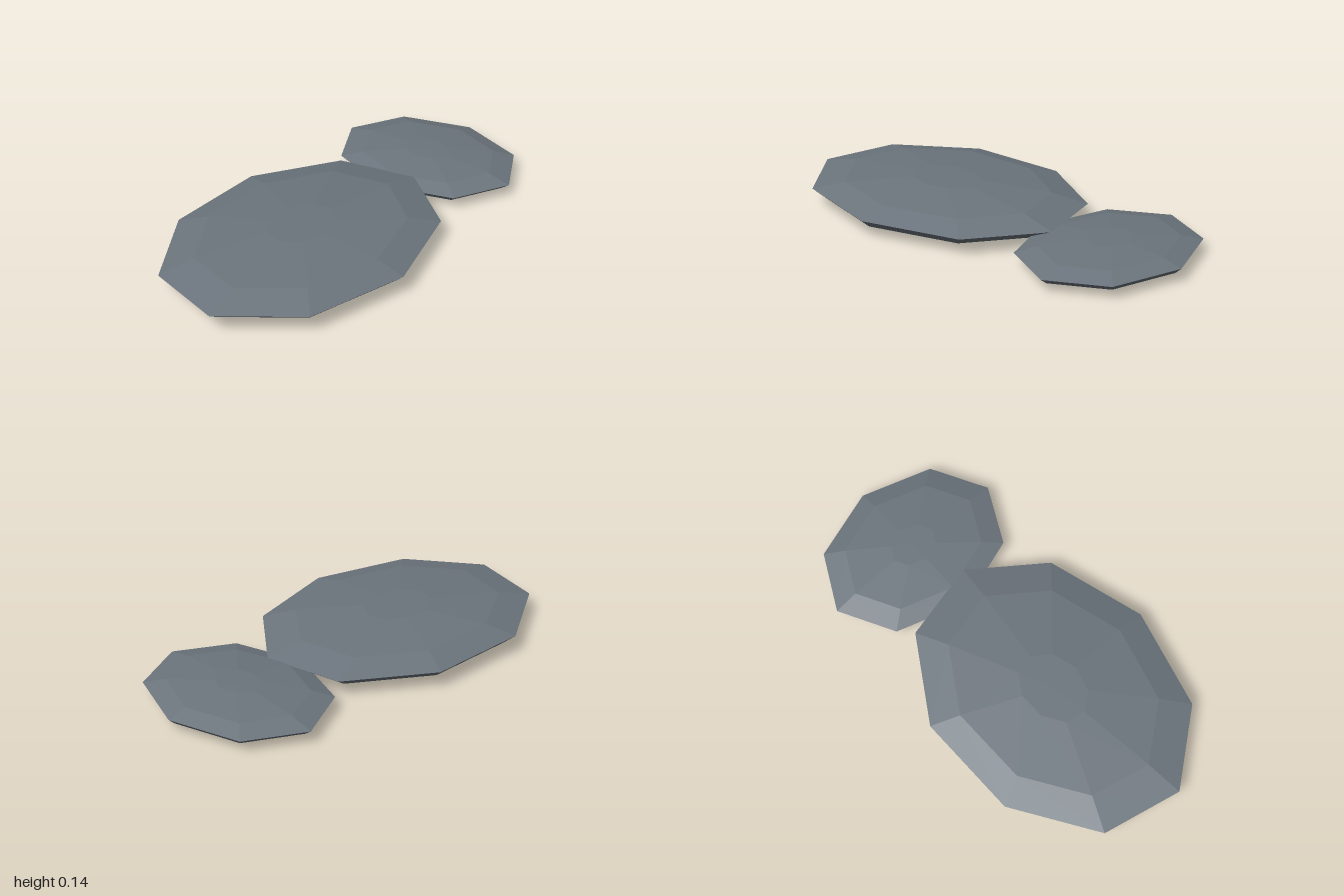
import * as THREE from 'three';

// Shared pebble profile, bottom pole to top pole: [radius ratio, height ratio]
const PROFILE = [
  [0, 0.01], [0.2, 0.015], [0.65, 0.11], [0.92, 0.32],
  [1, 0.59], [0.755, 0.83], [0.25, 0.985], [0, 0.99],
];

export function createModel() {
  const group = new THREE.Group();
  const slate = new THREE.MeshStandardMaterial({ color: 0x6c757d, flatShading: true });
  slate.name = 'slate grey';

  // A flat faceted stone with one corner pointing to +x
  function stone(name, sides, rx, height, rz, x, z) {
    const points = PROFILE.map(([r, y]) => new THREE.Vector2(r, y));
    const geometry = new THREE.LatheGeometry(points, sides, Math.PI / 2);
    geometry.scale(rx, height, rz);
    const mesh = new THREE.Mesh(geometry, slate);
    mesh.name = name;
    mesh.position.set(x, 0, z);
    group.add(mesh);
  }

  stone('largeStone', 9, 0.536, 0.14, 0.706, -0.021, 0.295);
  stone('smallStone', 8, 0.456, 0.1, 0.36, -0.019, -0.64);
  return group;
}
